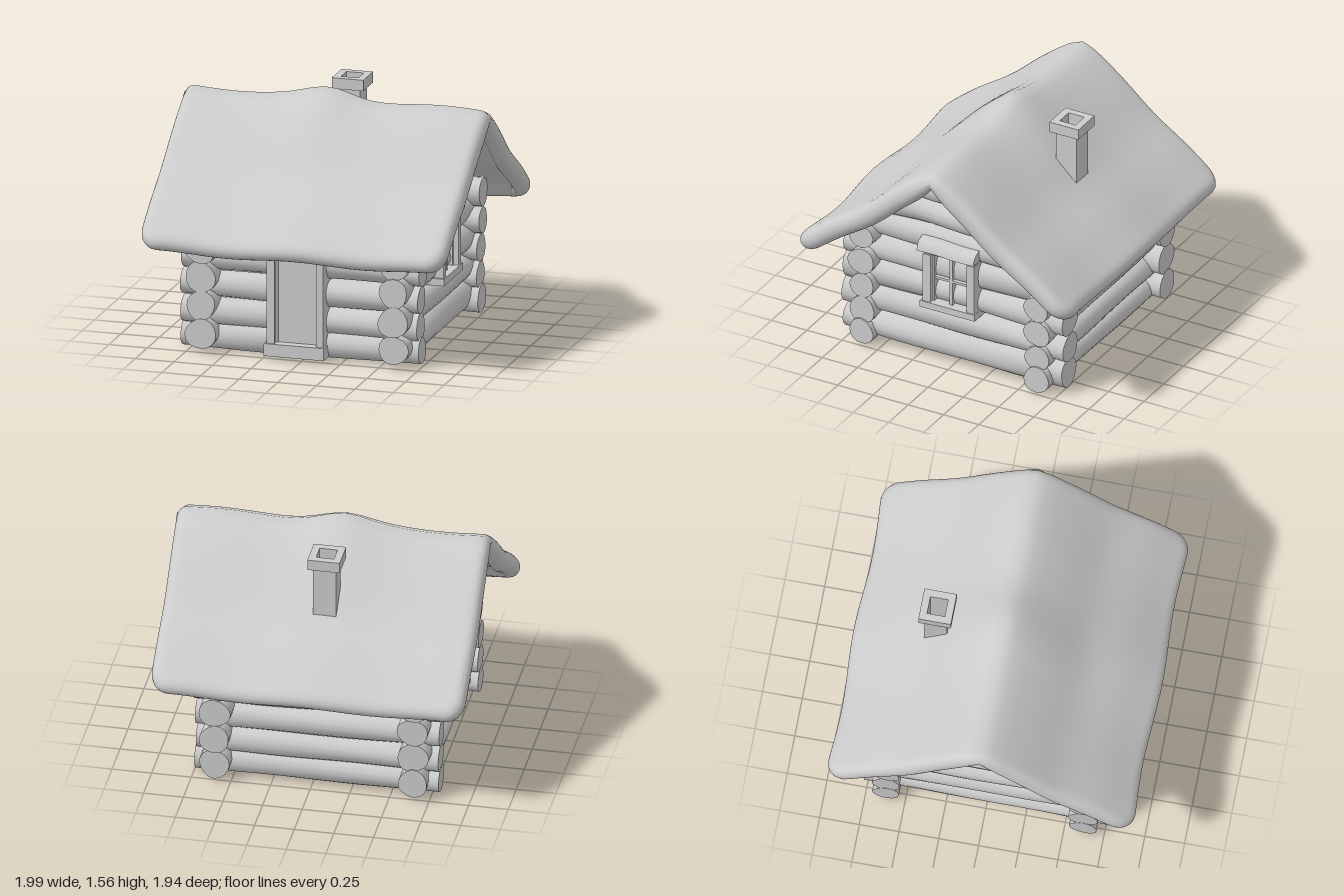
import * as THREE from 'three';
import { toCreasedNormals } from 'three/addons/utils/BufferGeometryUtils.js';

const clay = new THREE.MeshStandardMaterial({ color: 0xcccccc });
clay.name = 'pale grey';

const clamp = THREE.MathUtils.clamp;

function add(parent, name, geometry) {
  const mesh = new THREE.Mesh(geometry, clay);
  mesh.name = name;
  parent.add(mesh);
  return mesh;
}

// Box given by its min and max on each axis
function block(parent, name, [x0, x1], [y0, y1], [z0, z1]) {
  const mesh = add(parent, name, new THREE.BoxGeometry(x1 - x0, y1 - y0, z1 - z0));
  mesh.position.set((x0 + x1) / 2, (y0 + y1) / 2, (z0 + z1) / 2);
}

// Move each vertex by a rule
function warp(geometry, rule) {
  const p = geometry.attributes.position;
  const v = new THREE.Vector3();
  for (let i = 0; i < p.count; i++) {
    rule(v.fromBufferAttribute(p, i));
    p.setXYZ(i, v.x, v.y, v.z);
  }
  return geometry;
}

// Uneven log lying along z, with flat sawn ends
function logGeometry(radius, length, seed) {
  const g = new THREE.CylinderGeometry(radius, radius, length, 16, 12);
  warp(g, (v) => {
    const a = Math.atan2(v.z, v.x);
    const t = v.y * 4;
    const k = 1 + 0.04 * Math.sin(2 * a + seed * 1.7 + t * 0.6)
      + 0.035 * Math.sin(3 * a - seed * 2.3 + t * 0.8)
      + 0.03 * Math.sin(t * 1.6 + seed * 3.1);
    v.x *= k;
    v.z *= k;
  });
  return g.rotateX(Math.PI / 2);
}

function buildWalls(house) {
  const walls = new THREE.Group();
  walls.name = 'logWalls';
  house.add(walls);
  let seed = 1;

  // Front and back logs along x; the front ones stop at the doorway
  const crossLog = (name, x0, x1, y, z) => {
    const g = logGeometry(0.087, x1 - x0, seed++).rotateY(Math.PI / 2);
    add(walls, name, toCreasedNormals(g, 0.9)).position.set((x0 + x1) / 2, y, z);
  };
  [0.09, 0.24, 0.415, 0.592, 0.775].forEach((y, i) => {
    const left = 0.74 + 0.01 * Math.sin(i * 5), right = -0.8 + 0.01 * Math.sin(i * 3);
    crossLog('backLog', right, left, y, -0.62);
    if (i < 4) {
      crossLog('frontLog', right, -0.19, y, 0.62);
      crossLog('frontLog', 0.12, left, y, 0.62);
    } else crossLog('frontLog', right, left, y, 0.62);
  });
  for (const x of [-0.65, 0.6]) {
    // Side logs, running along z
    for (const y of [0.12, 0.3, 0.485, 0.665]) {
      const g = logGeometry(0.096, 1.55 + 0.02 * Math.sin(seed * 5), seed++);
      add(walls, 'sideLog', toCreasedNormals(g, 0.9)).position.set(x, y, 0);
    }
    // Gable logs, their ends cut to the roof slope
    for (const y of [0.843, 1.01, 1.185]) {
      const g = warp(logGeometry(0.094, 2, seed++), (v) => {
        v.z *= clamp((1.38 - y - v.y) * 1.2, 0.06, 0.62);
      });
      add(walls, 'gableLog', toCreasedNormals(g, 0.9)).position.set(x, y, 0);
    }
  }
  block(walls, 'floor', [-0.64, 0.59], [0.035, 0.06], [-0.62, 0.62]);
}

// Soft, sagging two-sided roof bent from a rounded slab
function buildRoof(house) {
  const hx = 0.99, hz = 0.95, r = 0.062, corner = 0.12;
  const g = new THREE.BoxGeometry(2, 2 * r, 2, 40, 6, 48);
  warp(g, (v) => {
    // Crowd the grid toward the rims
    v.x = hx * Math.sin(v.x * Math.PI / 2);
    v.z = hz * Math.sin(v.z * Math.PI / 2);
    // Round the plan corners, then roll the rim
    const cx = clamp(v.x, corner - hx, hx - corner), cz = clamp(v.z, corner - hz, hz - corner);
    const dx = v.x - cx, dz = v.z - cz, len = Math.hypot(dx, dz);
    if (len > 1e-6) {
      const out = Math.max(Math.abs(dx), Math.abs(dz));
      const q = Math.max(0, out - (corner - r));
      const k = q > 0 ? Math.max(q, Math.abs(v.y)) / Math.hypot(q, v.y) : 1;
      const reach = out - q + q * k;
      v.x = cx + dx / len * reach;
      v.z = cz + dz / len * reach;
      v.y *= k;
    }
    const a = Math.abs(v.z), x = v.x;
    // Shallow recess underneath, fuller on top and halfway down
    const recess = v.y < -0.9 * r && Math.min(hx - Math.abs(x), hz - a) > 0.1 ? 0.03 : 0;
    v.y *= 1 + (v.y > 0 ? 0.25 * (1 - a) : 0.5 * a * (1 - a));
    v.y += recess;
    // Bend over the ridge, rounded on top
    const b = v.y > 0 ? Math.hypot(a, 0.04) : a;
    const ridge = Math.max(0, 1 - a / 0.45);
    const nz = 0.6 * clamp(v.z / 0.15, -1, 1);
    const mid = 1.442 - 0.89 * b + 0.115 * b * b
      + 0.062 * ridge * Math.exp(-(((x + 0.05) / 0.2) ** 2))
      + 0.01 * ridge * Math.sin(x * 7 - 3.3)
      + 0.012 * a * Math.sin(x * 7 + 1.5)
      + 0.008 * Math.sin(a * 13 - 1.2) * Math.min(1, a * 3);
    v.z += v.y * nz + 0.012 * a * Math.sign(v.z) * Math.cos(x * 6);
    v.y = mid + v.y * Math.sqrt(1 - nz * nz);
    v.x += -0.012 + 0.012 * ridge;
  });
  add(house, 'roof', toCreasedNormals(g, 1.2));
}

// Square tube standing on y
function squareTube(parent, name, outer, inner, y0, y1) {
  const square = (Type, s) => new Type([[-1, -1], [1, -1], [1, 1], [-1, 1]]
    .map(([a, b]) => new THREE.Vector2(a * s / 2, b * s / 2)));
  const shape = square(THREE.Shape, outer);
  shape.holes.push(square(THREE.Path, inner));
  const g = new THREE.ExtrudeGeometry(shape, { depth: y1 - y0, bevelEnabled: false });
  g.rotateX(-Math.PI / 2);
  add(parent, name, g).position.set(-0.042, y0, -0.437);
}

function buildChimney(house) {
  const chimney = new THREE.Group();
  chimney.name = 'chimney';
  house.add(chimney);
  squareTube(chimney, 'chimneyStack', 0.146, 0.112, 0.98, 1.44);
  squareTube(chimney, 'chimneyCap', 0.204, 0.112, 1.44, 1.51);
}

function buildDoor(house) {
  const door = new THREE.Group();
  door.name = 'door';
  house.add(door);
  block(door, 'doorStep', [-0.235, 0.155], [0.02, 0.1], [0.54, 0.79]);
  block(door, 'doorPanel', [-0.18, 0.11], [0.1, 0.66], [0.66, 0.725]);
  block(door, 'doorPostRight', [-0.22, -0.17], [0.1, 0.65], [0.56, 0.775]);
  block(door, 'doorPostLeft', [0.1, 0.145], [0.1, 0.65], [0.56, 0.775]);
  block(door, 'doorLintel', [-0.23, 0.15], [0.65, 0.7], [0.56, 0.785]);
  for (const x of [-0.17, 0.088]) block(door, 'doorTrim', [x, x + 0.012], [0.1, 0.65], [0.65, 0.735]);
}

function buildWindow(house) {
  const win = new THREE.Group();
  win.name = 'sideWindow';
  house.add(win);
  block(win, 'windowSill', [0.58, 0.75], [0.39, 0.435], [-0.19, 0.2]);
  for (const s of [-1, 1]) {
    const z = s * 0.155;
    block(win, 'windowPost', [0.58, 0.742], [0.435, 0.77], [z - 0.027, z + 0.027]);
    block(win, 'sashSide', [0.66, 0.708], [0.435, 0.77], [s * 0.124 - 0.008, s * 0.124 + 0.008]);
  }
  block(win, 'windowHead', [0.58, 0.73], [0.77, 0.8], [-0.18, 0.18]);
  block(win, 'sashTop', [0.66, 0.708], [0.755, 0.77], [-0.13, 0.13]);
  block(win, 'mullion', [0.66, 0.708], [0.435, 0.77], [-0.01, 0.01]);
  block(win, 'crossbar', [0.66, 0.706], [0.592, 0.608], [-0.13, 0.13]);
  // Half-round log sheltering the window
  const hood = warp(logGeometry(0.08, 0.4, 4), (v) => {
    v.y = Math.max(v.y, 0) + 0.005 * Math.sin(v.z * 14);
    v.x *= 1.1;
  });
  add(win, 'windowHood', toCreasedNormals(hood, 0.9)).position.set(0.68, 0.795, 0.01);
}

export function createModel() {
  const house = new THREE.Group();
  house.name = 'logCabin';
  buildWalls(house);
  buildRoof(house);
  buildChimney(house);
  buildDoor(house);
  buildWindow(house);
  return house;
}
